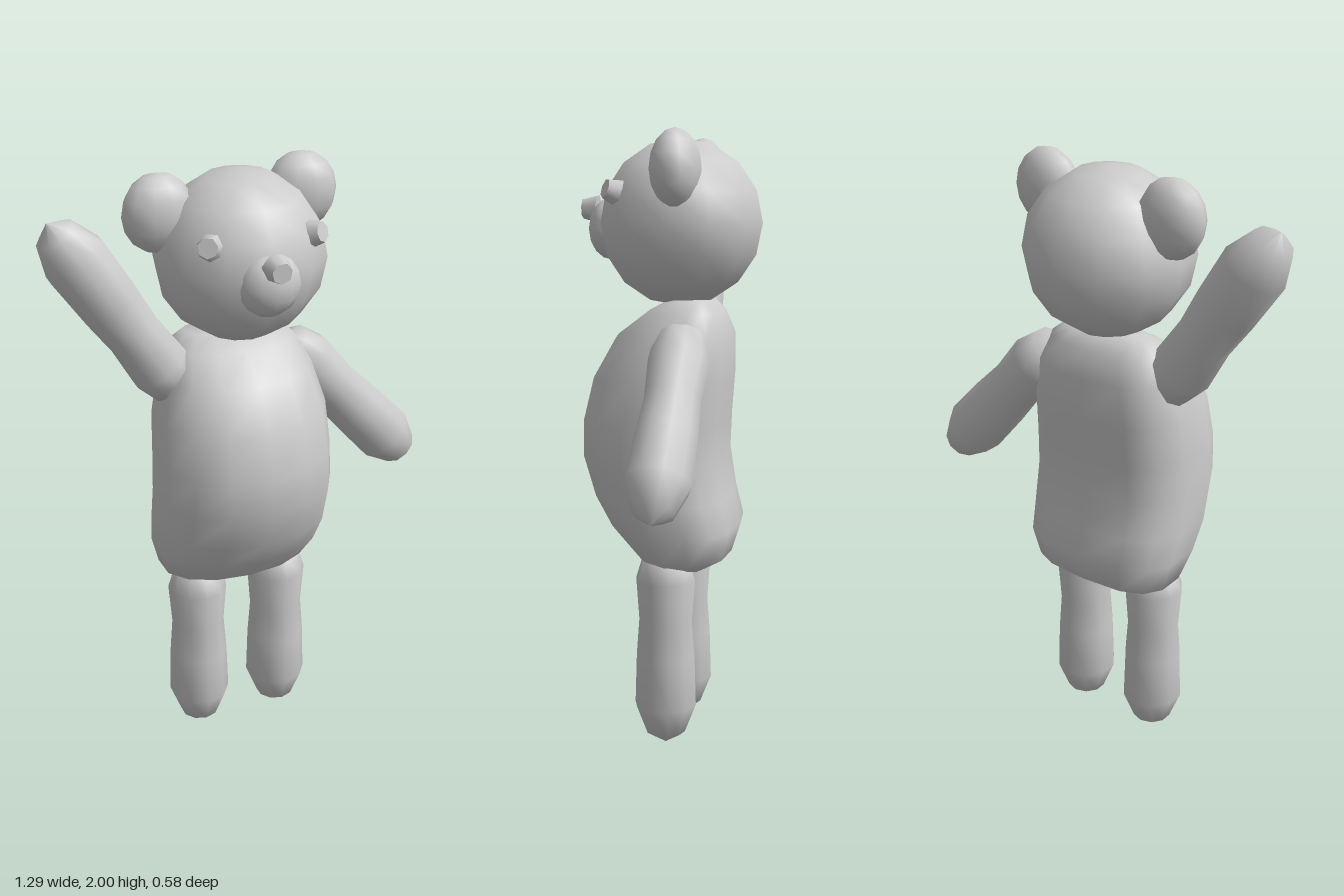
import * as THREE from 'three';

const material = new THREE.MeshStandardMaterial({ color: 0xcccccc });

function addMesh(parent, name, geometry, position) {
  const mesh = new THREE.Mesh(geometry, material);
  mesh.name = name;
  mesh.position.set(...position);
  parent.add(mesh);
  return mesh;
}

// Faceted ellipsoid with smooth normals
function ellipsoid(rx, ry, rz, around = 12, rings = 8) {
  return new THREE.SphereGeometry(1, around, rings).scale(rx, ry, rz);
}

// Stuffed limb growing upward from its tip: [radius, distance from tip]
const limbProfile = [
  [0, 0], [0.065, 0.04], [0.102, 0.135], [0.097, 0.3], [0.088, 0.42],
  [0.098, 0.56], [0.074, 0.64], [0, 0.68],
].map(([r, y]) => new THREE.Vector2(r, y));

function addLimb(parent, name, tip, root, length = 0.68) {
  const geometry = new THREE.LatheGeometry(limbProfile, 10);
  const limb = addMesh(parent, name, geometry, tip);
  const direction = new THREE.Vector3(...root).sub(limb.position).normalize();
  limb.quaternion.setFromUnitVectors(new THREE.Vector3(0, 1, 0), direction);
  limb.scale.y = length / 0.68;
}

// Torso lofted from rings: [y, half width, front z, back z]
function torsoGeometry() {
  const rings = [
    [0.575, 0, -0.04, -0.04],
    [0.59, 0.15, 0.04, -0.13],
    [0.635, 0.255, 0.11, -0.2],
    [0.73, 0.28, 0.195, -0.23],
    [0.83, 0.29, 0.25, -0.205],
    [0.96, 0.29, 0.29, -0.185],
    [1.08, 0.286, 0.29, -0.19],
    [1.22, 0.278, 0.255, -0.2],
    [1.35, 0.245, 0.18, -0.2],
    [1.43, 0.205, 0.075, -0.165],
    [1.47, 0.155, 0, -0.125],
    [1.475, 0, -0.06, -0.06],
  ];
  const sides = 14;
  const positions = [];
  const indices = [];
  rings.forEach(([y, halfWidth, front, back], j) => {
    const middle = (front + back) / 2;
    const depth = (front - back) / 2;
    for (let i = 0; i < sides; i++) {
      const a = (i / sides) * Math.PI * 2;
      const s = Math.sin(a);
      const c = Math.cos(a);
      // The back is squarer than the belly
      const power = c < 0 ? 0.7 : 0.95;
      positions.push(
        halfWidth * Math.sign(s) * Math.abs(s) ** power, y,
        middle + depth * Math.sign(c) * Math.abs(c) ** power,
      );
      if (j === rings.length - 1) continue;
      const p = j * sides + i;
      const q = j * sides + ((i + 1) % sides);
      if (j > 0) indices.push(p, q, q + sides);
      indices.push(p, q + sides, p + sides);
    }
  });
  // Share one vertex at each pole so the ends shade smoothly
  const lastRing = (rings.length - 1) * sides;
  const welded = indices.map((k) => (k < sides ? 0 : k >= lastRing ? lastRing : k));
  const geometry = new THREE.BufferGeometry();
  geometry.setAttribute('position', new THREE.Float32BufferAttribute(positions, 3));
  geometry.setIndex(welded);
  geometry.computeVertexNormals();
  return geometry;
}

// Small six-sided button with a narrower face, pointing along +z
function buttonGeometry(radius, depth) {
  const geometry = new THREE.CylinderGeometry(radius * 0.72, radius, depth, 7);
  return geometry.rotateX(Math.PI / 2);
}

export function createModel() {
  const bear = new THREE.Group();
  bear.name = 'teddyBear';

  addMesh(bear, 'torso', torsoGeometry(), [-0.035, 0, 0]);

  // Legs hang straight, one arm is raised and the other lowered
  addLimb(bear, 'leftLeg', [0.107, 0.005, -0.005], [0.107, 1, -0.005]);
  addLimb(bear, 'rightLeg', [-0.183, 0.005, -0.005], [-0.183, 1, -0.005]);
  addLimb(bear, 'rightArm', [-0.61, 1.885, -0.03], [-0.23, 1.3, -0.025], 0.72);
  addLimb(bear, 'leftArm', [0.63, 0.87, -0.07], [0.16, 1.38, -0.075], 0.71);

  // Head
  const head = new THREE.Group();
  head.name = 'head';
  head.position.set(-0.015, 1.712, -0.03);
  bear.add(head);
  addMesh(head, 'skull', ellipsoid(0.272, 0.265, 0.265), [0, 0, 0]);
  addMesh(head, 'muzzle', ellipsoid(0.1, 0.1, 0.075, 12, 8), [0, -0.02, 0.225]);
  addMesh(head, 'nose', buttonGeometry(0.045, 0.05), [0, 0.043, 0.295]);

  // Eyes face outward from the head
  for (const side of [-1, 1]) {
    const name = side > 0 ? 'leftEye' : 'rightEye';
    const eye = addMesh(head, name, buttonGeometry(0.043, 0.045), [side * 0.17, 0.1, 0.185]);
    eye.rotation.set(-0.3, side * 0.6, 0, 'YXZ');
  }

  // Ears, set a little unevenly
  addMesh(head, 'leftEar', ellipsoid(0.116, 0.122, 0.077, 10, 8), [0.215, 0.166, -0.025])
    .rotation.y = -0.12;
  addMesh(head, 'rightEar', ellipsoid(0.114, 0.122, 0.077, 10, 8), [-0.248, 0.151, -0.028]);

  return bear;
}
